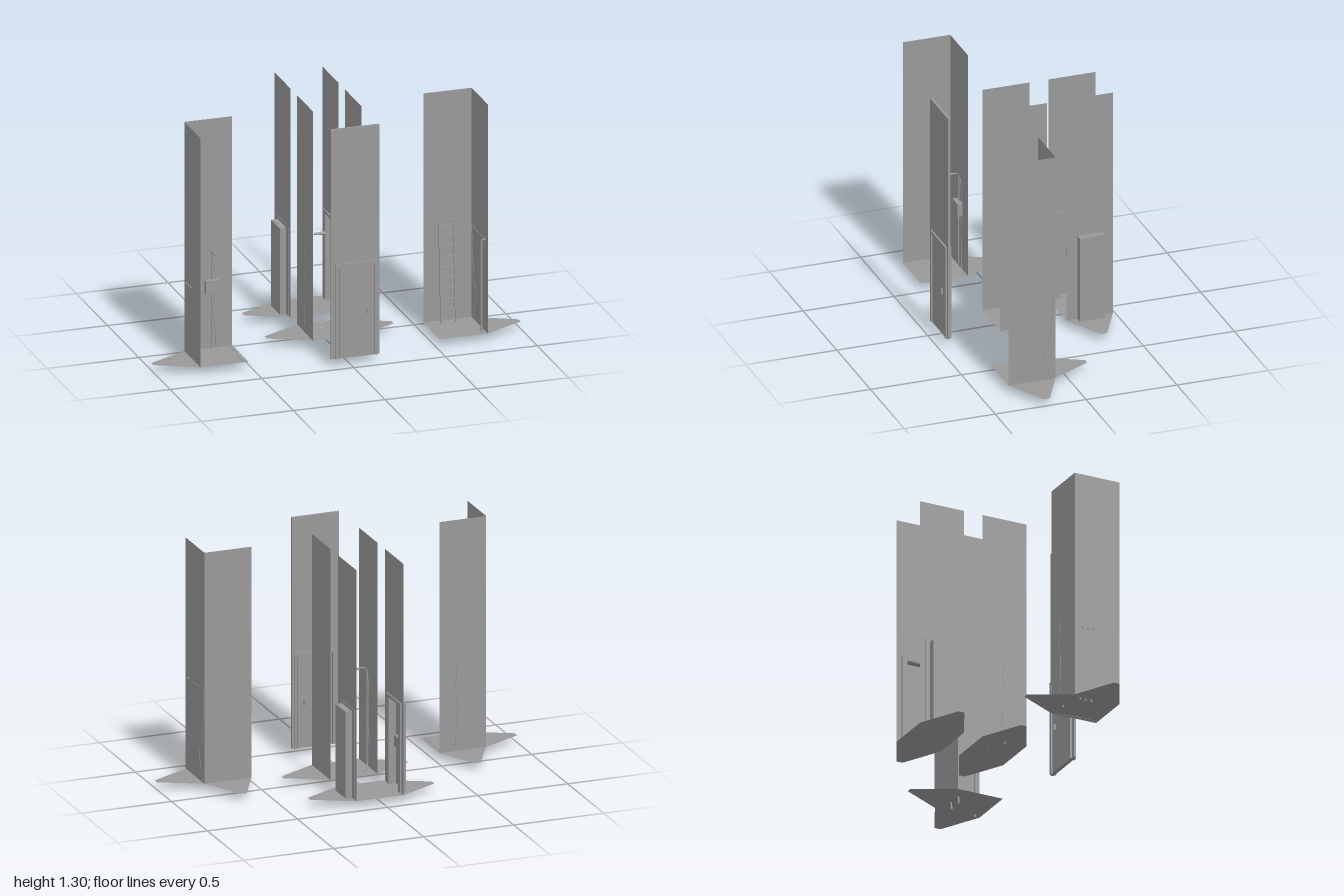
import * as THREE from 'three';

const grey = new THREE.MeshStandardMaterial({ color: 0x999999, side: THREE.DoubleSide });
grey.name = 'plain grey';

const FLOOR = 0.04, TOP = 1.3;

function add(parent, name, geometry, x = 0, y = 0, z = 0) {
  const mesh = new THREE.Mesh(geometry, grey);
  mesh.name = name;
  mesh.position.set(x, y, z);
  parent.add(mesh);
  return mesh;
}

// Box given by its minimum and maximum corners
function block(parent, name, [x0, y0, z0], [x1, y1, z1]) {
  return add(parent, name, new THREE.BoxGeometry(x1 - x0, y1 - y0, z1 - z0),
    (x0 + x1) / 2, (y0 + y1) / 2, (z0 + z1) / 2);
}

function tube(parent, name, points, radius, sides = 8, steps = points.length * 6, tension = 0.5) {
  const path = new THREE.CatmullRomCurve3(points.map(p => new THREE.Vector3(...p)), false, 'catmullrom', tension);
  return add(parent, name, new THREE.TubeGeometry(path, steps, radius, sides, false));
}

// Flat floor from an outline in x and z
function floor(parent, outline) {
  const shape = new THREE.Shape(outline.map(p => new THREE.Vector2(...p)));
  add(parent, 'floor', new THREE.ShapeGeometry(shape), 0, FLOOR, 0).rotation.x = Math.PI / 2;
}

function rect(Type, a0, b0, a1, b1) {
  return new Type([[a0, b0], [a1, b0], [a1, b1], [a0, b1]].map(p => new THREE.Vector2(...p)));
}

// Side wall in a plane of constant x, with an optional doorway [z0, z1, height]
function sideWall(parent, x, z0, z1, doorway) {
  const shape = rect(THREE.Shape, z0, FLOOR, z1, TOP);
  if (doorway) shape.holes.push(rect(THREE.Path, doorway[0], FLOOR + 0.001, doorway[1], doorway[2]));
  add(parent, 'sideWall', new THREE.ShapeGeometry(shape), x, 0, 0).rotation.y = -Math.PI / 2;
}

function backWall(parent, x0, x1, z) {
  add(parent, 'backWall', new THREE.ShapeGeometry(rect(THREE.Shape, x0, FLOOR, x1, TOP)), 0, 0, z);
}

// Eight-cornered corridor floor with a tapered flap at each end
function corridorFloor(parent, z0, z1) {
  const m = (z0 + z1) / 2;
  floor(parent, [[-0.105, z0], [0.157, z0], [0.37, m - 0.017], [0.37, m + 0.017],
    [0.157, z1], [-0.105, z1], [-0.32, m + 0.017], [-0.32, m - 0.017]]);
}

// Corner floor with flaps to the side and to the rear; s is the side of the model
function cornerFloor(parent, s) {
  floor(parent, [[0.52, 0.347], [0.78, 0.347], [1, 0.233], [1, 0.2], [0.78, 0.087],
    [0.665, -0.13], [0.635, -0.13], [0.52, 0.087]].map(([x, z]) => [s * x, z]));
}

// Wall lamp that reaches out along its own +z
function lamp(parent, x, z, turn) {
  const group = new THREE.Group();
  group.name = 'wallLamp';
  group.position.set(x, 0, z);
  group.rotation.y = turn;
  tube(group, 'lampPipe', [[0, 0.03, 0.006], [0, 0.3, 0.006], [0, 0.555, 0.006], [0, 0.575, 0.02], [0, 0.58, 0.055]], 0.004, 8, 40);
  const head = add(group, 'lampHead', new THREE.CylinderGeometry(0.008, 0.013, 0.055, 8), 0, 0.578, 0.075);
  head.rotation.x = -Math.PI / 2;
  head.scale.z = 0.75;
  parent.add(group);
}

// Pipe that leaves the wall, bends and drops to the floor
function bentPipe(parent, wallX, inward, z, height) {
  const x = wallX + inward * 0.022;
  tube(parent, 'bentPipe', [[wallX - inward * 0.004, height, z], [wallX + inward * 0.012, height, z],
    [x, height - 0.012, z], [x, height - 0.05, z], [x, 0.2, z], [x, 0.03, z]], 0.005, 8, 48);
}

function buildDoorWall(root) {
  const g = new THREE.Group();
  g.name = 'doorWall';
  block(g, 'wallPanel', [-0.105, FLOOR, 0.434], [0.157, TOP, 0.448]);
  // Frame, door leaf and handles on both faces
  for (const [x0, x1, y0, y1] of [[-0.083, -0.066, FLOOR, 0.56], [0.13, 0.147, FLOOR, 0.56], [-0.066, 0.13, 0.543, 0.56]])
    block(g, 'doorFrame', [x0, y0, 0.424], [x1, y1, 0.457]);
  block(g, 'doorLeaf', [-0.062, FLOOR, 0.431], [0.126, 0.54, 0.451]);
  for (const [z0, z1] of [[0.417, 0.431], [0.451, 0.464]]) {
    block(g, 'handle', [0.088, 0.27, z0], [0.096, 0.302, z1]);
  }
  root.add(g);
}

function buildAlcoveCorridor(root) {
  const g = new THREE.Group();
  g.name = 'alcoveCorridor';
  corridorFloor(g, -0.46, -0.203);
  for (const [x, out] of [[-0.105, -1], [0.157, 1]]) {
    sideWall(g, x, -0.46, -0.203, [-0.4, -0.267, 0.513]);
    const span = (a, b) => [x + Math.min(out * a, out * b), x + Math.max(out * a, out * b)];
    // Thin door surround
    const [f0, f1] = span(-0.007, 0.002);
    for (const [z0, z1, y0, y1] of [[-0.43, -0.4, FLOOR, 0.53], [-0.267, -0.235, FLOOR, 0.53], [-0.4, -0.267, 0.513, 0.53]])
      block(g, 'doorSurround', [f0, y0, z0], [f1, y1, z1]);
    // Recess: two cheeks, a ceiling and the closed door at the back
    const [r0, r1] = span(0, 0.036), [d0, d1] = span(0.034, 0.037);
    block(g, 'recessCheek', [r0, FLOOR, -0.402], [r1, 0.513, -0.4]);
    block(g, 'recessCheek', [r0, FLOOR, -0.267], [r1, 0.513, -0.265]);
    block(g, 'recessCeiling', [r0, 0.511, -0.4], [r1, 0.513, -0.267]);
    block(g, 'recessDoor', [d0, FLOOR, -0.402], [d1, 0.513, -0.265]);
  }
  // Small box inside one recess
  block(g, 'recessBox', [-0.139, 0.26, -0.37], [-0.112, 0.32, -0.31]);
  root.add(g);
}

function buildLampCorridor(root) {
  const g = new THREE.Group();
  g.name = 'lampCorridor';
  corridorFloor(g, -0.097, 0.16);
  for (const x of [-0.105, 0.157]) sideWall(g, x, -0.097, 0.16);
  lamp(g, -0.105, 0.037, Math.PI / 2);
  // Cable down the wall and across the floor
  tube(g, 'cable', [[-0.103, 0.55, 0.037], [-0.104, 0.42, 0.02], [-0.103, 0.28, 0.03], [-0.104, 0.15, 0.015],
    [-0.1, 0.05, 0.03], [-0.06, 0.042, -0.04], [-0.03, 0.04, -0.02], [0.01, 0.04, -0.01],
    [0.05, 0.041, 0.02], [0.09, 0.04, 0.04], [0.12, 0.04, 0.065], [0.15, 0.04, 0.082]], 0.0025, 6);
  root.add(g);
}

function buildLampCorner(root) {
  const g = new THREE.Group();
  g.name = 'lampCorner';
  cornerFloor(g, -1);
  sideWall(g, -0.782, 0.087, 0.347);
  backWall(g, -0.782, -0.522, 0.087);
  for (const z of [0.13, 0.162, 0.195]) bentPipe(g, -0.782, 1, z, 0.43);
  lamp(g, -0.635, 0.09, 0);
  block(g, 'fuseBox', [-0.673, 0.345, 0.087], [-0.6, 0.418, 0.115]);
  tube(g, 'cable', [[-0.632, 0.55, 0.09], [-0.62, 0.5, 0.087], [-0.615, 0.38, 0.088], [-0.622, 0.25, 0.087],
    [-0.612, 0.12, 0.088], [-0.605, 0.045, 0.09], [-0.545, 0.041, 0.1], [-0.535, 0.04, 0.17],
    [-0.545, 0.04, 0.25], [-0.54, 0.04, 0.34]], 0.0025, 6);
  root.add(g);
}

function buildLadderCorner(root) {
  const g = new THREE.Group();
  g.name = 'ladderCorner';
  cornerFloor(g, 1);
  sideWall(g, 0.782, 0.087, 0.347);
  backWall(g, 0.522, 0.782, 0.087);
  bentPipe(g, 0.782, -1, 0.31, 0.545);
  tube(g, 'cable', [[0.781, 0.545, 0.32], [0.782, 0.543, 0.24], [0.781, 0.546, 0.16], [0.781, 0.545, 0.1],
    [0.782, 0.45, 0.102], [0.781, 0.36, 0.112], [0.782, 0.25, 0.125], [0.781, 0.22, 0.15],
    [0.782, 0.16, 0.15], [0.781, 0.09, 0.13], [0.781, 0.04, 0.115]], 0.0022, 6);
  // Ladder leaning on the back wall
  const ladder = new THREE.Group();
  ladder.name = 'ladder';
  ladder.position.set(0.643, 0, 0.133);
  ladder.rotation.x = -0.063;
  for (const s of [-1, 1]) block(ladder, 'rail', [s * 0.04 - 0.004, 0, -0.004], [s * 0.04 + 0.004, 0.59, 0.004]);
  for (let i = 0; i < 10; i++) {
    const y = 0.057 + i * 0.057;
    block(ladder, 'rung', [-0.037, y - 0.003, -0.003], [0.037, y + 0.003, 0.003]);
  }
  g.add(ladder);
  root.add(g);
}

export function createModel() {
  const root = new THREE.Group();
  root.name = 'alleySections';
  for (const build of [buildDoorWall, buildAlcoveCorridor, buildLampCorridor, buildLampCorner, buildLadderCorner]) build(root);
  return root;
}
